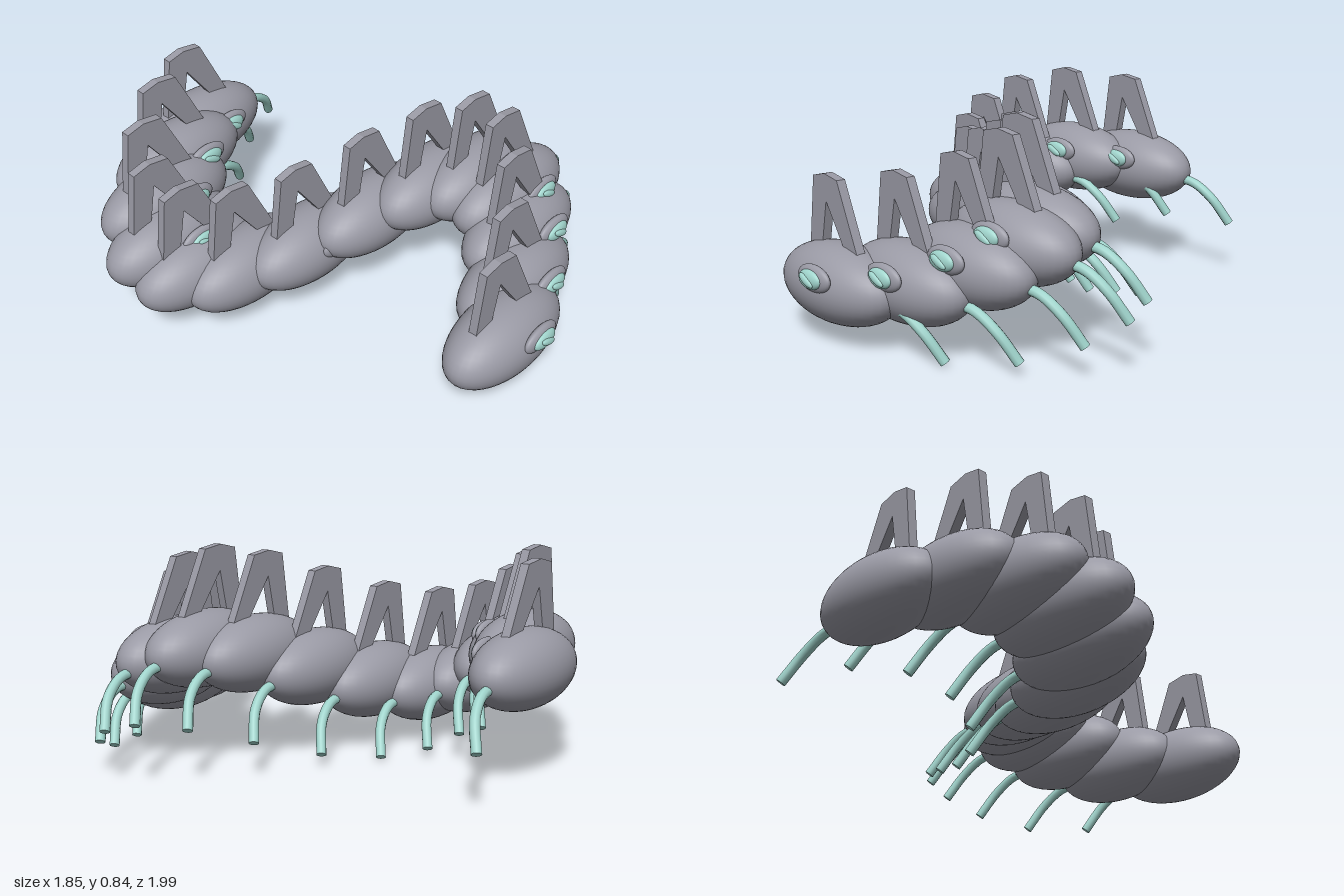
import * as THREE from 'three';

const bodyGrey = new THREE.MeshStandardMaterial({ color: 0x9a9aa5, side: THREE.DoubleSide });
bodyGrey.name = 'bodyGrey';
const paleTeal = new THREE.MeshStandardMaterial({ color: 0xa0d4cc, side: THREE.DoubleSide });
paleTeal.name = 'paleTeal';

const COUNT = 14;

function part(name, geometry, material) {
  const mesh = new THREE.Mesh(geometry, material);
  mesh.name = name;
  return mesh;
}

function ellipsoid(rx, ry, rz, w = 32, h = 20) {
  return new THREE.SphereGeometry(1, w, h).scale(rx, ry, rz);
}

// Thin two-legged arch standing on the back of a segment
function archGeometry() {
  const outline = [
    [-0.185, 0.09], [-0.145, 0.385], [-0.07, 0.403], [0.015, 0.39],
    [0.155, 0.09], [0.085, 0.09], [-0.062, 0.3], [-0.105, 0.09],
  ].map(([x, y]) => new THREE.Vector2(x, y));
  const geo = new THREE.ExtrudeGeometry(new THREE.Shape(outline), { depth: 0.036, bevelEnabled: false });
  return geo.translate(0, 0, -0.018).rotateY(-0.06);
}

// Curved leg leaving the left end of a segment, bending down and back
function legGeometry() {
  const path = new THREE.CatmullRomCurve3([
    new THREE.Vector3(0.25, -0.025, -0.01),
    new THREE.Vector3(0.34, -0.04, -0.018),
    new THREE.Vector3(0.42, -0.1, -0.04),
    new THREE.Vector3(0.482, -0.205, -0.085),
  ]);
  return new THREE.TubeGeometry(path, 14, 0.02, 10);
}

export function createModel() {
  const model = new THREE.Group();
  model.name = 'segmentedCrawler';

  const shell = ellipsoid(0.307, 0.153, 0.156, 40, 24);
  const arch = archGeometry();
  const leg = legGeometry();
  const legTip = new THREE.CircleGeometry(0.02, 10);
  const rim = ellipsoid(0.094, 0.052, 0.026);
  const lens = ellipsoid(0.063, 0.037, 0.022);
  const pupil = ellipsoid(0.042, 0.016, 0.012, 20, 12);
  const tipDirection = new THREE.Vector3(0.062, -0.105, -0.045).normalize();

  // Segments follow a sideways S and a rising and falling wave
  for (let i = 0; i < COUNT; i++) {
    const segment = new THREE.Group();
    segment.name = 'segment' + (i + 1);
    segment.position.set(
      -0.095 + 0.525 * Math.sin((2 * Math.PI * i) / 13),
      0.334 - 0.1125 * Math.cos(0.773 * i),
      0.8 - 0.1262 * i
    );

    segment.add(part('shell', shell, bodyGrey));
    segment.add(part('backArch', arch, bodyGrey));
    segment.add(part('leg', leg, paleTeal));

    const tip = part('legTip', legTip, paleTeal);
    tip.position.set(0.482, -0.205, -0.085);
    tip.quaternion.setFromUnitVectors(new THREE.Vector3(0, 0, 1), tipDirection);
    segment.add(tip);

    // Eye on the front face
    const eye = new THREE.Group();
    eye.name = 'eye';
    eye.position.set(0.033, 0.054, 0.145);
    eye.add(part('eyeRim', rim, bodyGrey));
    const eyeLens = part('eyeLens', lens, paleTeal);
    eyeLens.position.z = 0.018;
    const eyePupil = part('eyePupil', pupil, paleTeal);
    eyePupil.position.z = 0.036;
    eyePupil.rotation.z = -0.45;
    eye.add(eyeLens, eyePupil);
    segment.add(eye);

    model.add(segment);
  }
  return model;
}
